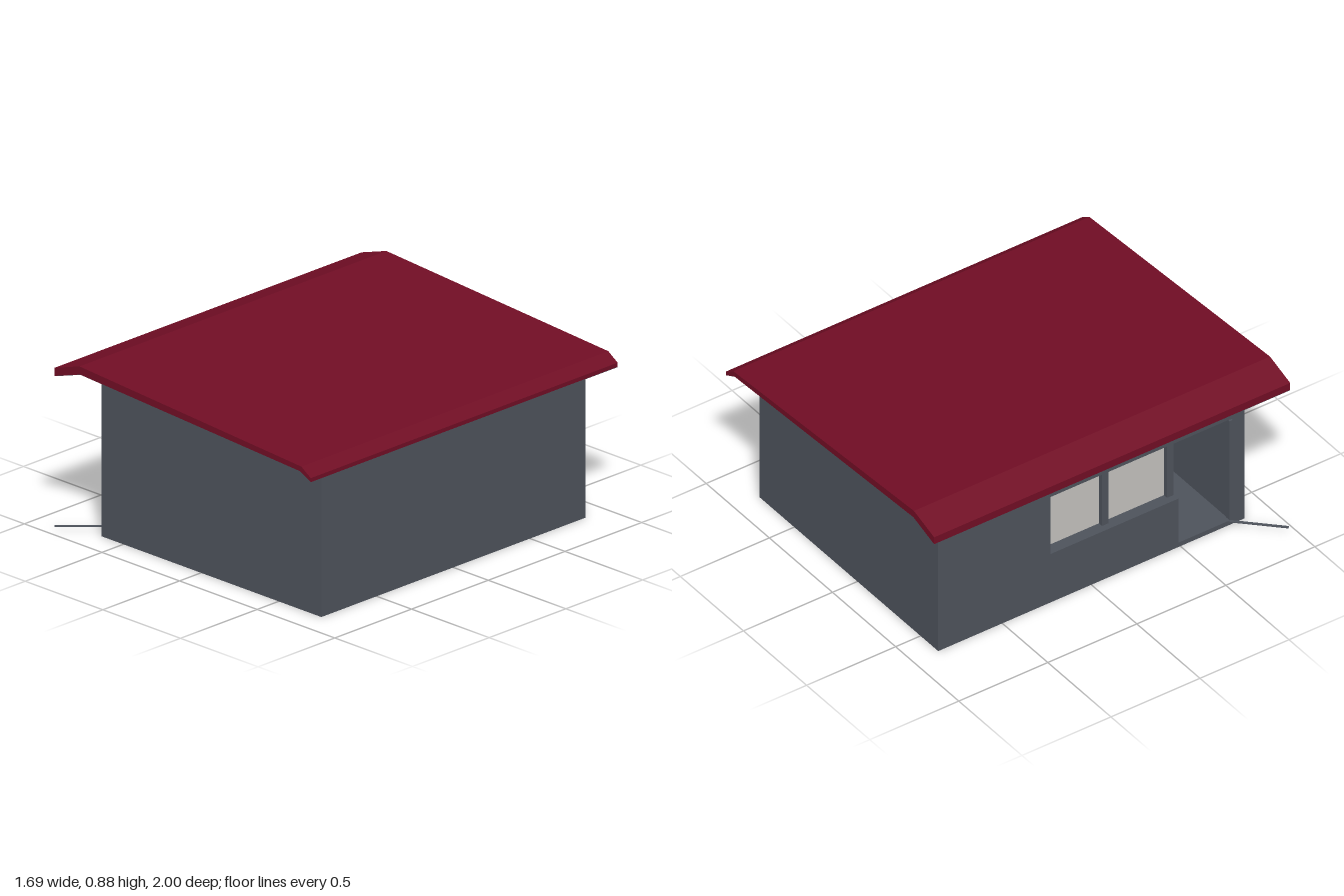
import * as THREE from 'three';

const wallMat = new THREE.MeshStandardMaterial({ name: 'slateWall', color: 0x4d525b });
const roofMat = new THREE.MeshStandardMaterial({ name: 'darkRedRoof', color: 0x700d24 });
const glassMat = new THREE.MeshStandardMaterial({ name: 'paleGlass', color: 0xc2c0bc });

const T = 0.08;                  // wall thickness
const L = -0.64, R = 0.775;      // outer wall faces in x
const D = 0.86;                  // half depth of the walls

const shapeOf = (pts) => new THREE.Shape(pts.map(([x, y]) => new THREE.Vector2(x, y)));

export function createModel() {
  const model = new THREE.Group();
  model.name = 'shed';

  const add = (name, geometry, material) => {
    const mesh = new THREE.Mesh(geometry, material);
    mesh.name = name;
    model.add(mesh);
    return mesh;
  };
  // Box given by its limits on each axis
  const box = (name, [x0, x1], [y0, y1], [z0, z1], material = wallMat) => {
    const g = new THREE.BoxGeometry(x1 - x0, y1 - y0, z1 - z0);
    g.translate((x0 + x1) / 2, (y0 + y1) / 2, (z0 + z1) / 2);
    return add(name, g, material);
  };
  // Outline in x and y, extruded from z0 to z1
  const prism = (name, shape, z0, z1, material) => {
    const g = new THREE.ExtrudeGeometry(shape, { depth: z1 - z0, bevelEnabled: false });
    return add(name, g.translate(0, 0, z0), material);
  };

  // Floor, sloping-topped end walls and the low side wall
  box('floor', [L, R], [0, 0.025], [-D, D]);
  const endWall = shapeOf([[L, 0], [R, 0], [R, 0.762], [L, 0.84]]);
  prism('frontWall', endWall, D - T, D, wallMat);
  prism('backWall', endWall, -D, -D + T, wallMat);
  box('leftWall', [R - T, R], [0, 0.762], [-D + T, D - T]);

  // Entrance wall with a joined door and window opening
  const side = shapeOf([[-D, 0], [D, 0], [D, 0.838], [-D, 0.838]]);
  side.holes.push(new THREE.Path([
    [-0.23, 0.28], [-0.23, 0.61], [0.785, 0.61], [0.785, 0.025], [0.49, 0.025], [0.49, 0.28],
  ].map(([z, y]) => new THREE.Vector2(z, y))));
  const sideGeo = new THREE.ExtrudeGeometry(side, { depth: T, bevelEnabled: false });
  sideGeo.rotateY(-Math.PI / 2).translate(L + T, 0, 0);
  add('entranceWall', sideGeo, wallMat);

  // Window posts and panes
  for (const z of [0.085, 0.45]) {
    box('windowPost', [L + 0.035, L + T], [0.28, 0.61], [z, z + 0.035]);
  }
  for (const [z0, z1] of [[-0.23, 0.085], [0.12, 0.45]]) {
    box('windowPane', [L + 0.06, L + 0.068], [0.28, 0.61], [z0, z1], glassMat);
  }

  // Hinge post and the bottom strip of the opened door
  box('hingePost', [L - 0.01, L + 0.02], [0.035, 0.608], [0.77, 0.788]);
  const a = new THREE.Vector2(-0.64, 0.77), b = new THREE.Vector2(-0.838, 0.968);
  const strip = add('doorStrip', new THREE.BoxGeometry(a.distanceTo(b), 0.004, 0.014), wallMat);
  strip.position.set((a.x + b.x) / 2, 0.025, (a.y + b.y) / 2);
  strip.rotation.y = Math.PI / 4;

  // Bent roof slab, with a thin soffit following its underside
  const top = [[0.845, 0.745], [0.785, 0.785], [-0.645, 0.877], [-0.805, 0.825]];
  const under = [[-0.805, 0.785], [-0.64, 0.838], [0.775, 0.76], [0.845, 0.725]];
  prism('roof', shapeOf([...under, ...top]), -1, 1, roofMat);
  const lowered = under.map(([x, y]) => [x, y - 0.002]);
  prism('soffit', shapeOf([...lowered, ...under.slice().reverse()]), -0.998, 0.998, wallMat);

  return model;
}
